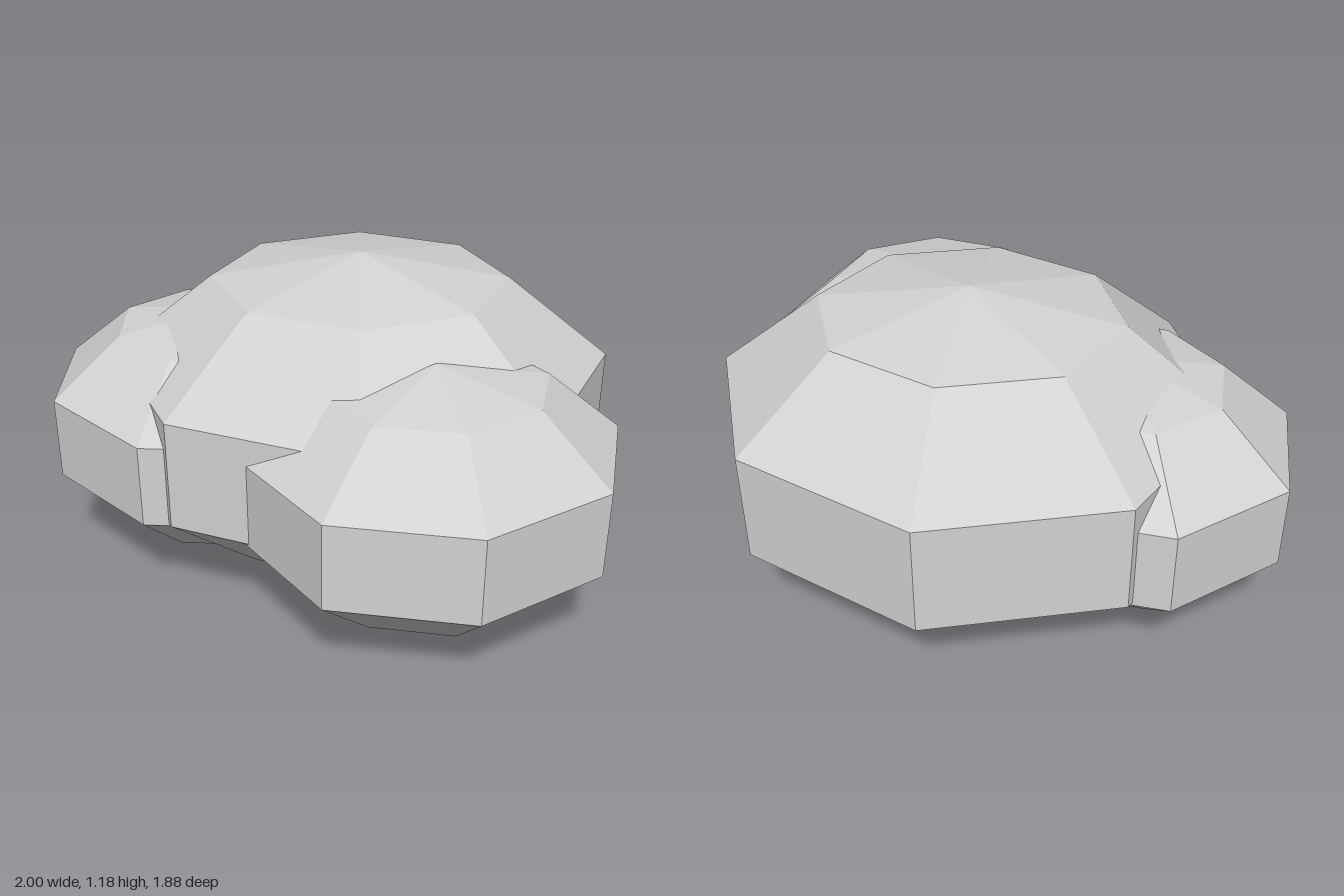
import * as THREE from 'three';

const stone = new THREE.MeshStandardMaterial({ color: 0xd2d2d2, flatShading: true });
stone.name = 'pale grey stone';

// Faceted eight-sided boulder: a lathe through six heights, stretched and turned
function boulder(name, x, z, rx, rz, turn, heights) {
  const radii = [0, 0.59, 1, 1, 0.59, 0];
  const profile = heights.map((y, i) => new THREE.Vector2(radii[i], y));
  const geometry = new THREE.LatheGeometry(profile, 8).scale(rx, 1, rz).toNonIndexed();
  geometry.computeVertexNormals();
  const mesh = new THREE.Mesh(geometry, stone);
  mesh.name = name;
  mesh.position.set(x, 0, z);
  mesh.rotation.y = turn;
  return mesh;
}

export function createModel() {
  const group = new THREE.Group();
  group.name = 'boulderCluster';
  group.add(
    boulder('largeBoulder', 0.1, -0.137, 0.9, 0.803, -0.012, [0, 0.1, 0.392, 0.79, 1.085, 1.18]),
    boulder('frontBoulder', 0.345, 0.37, 0.65, 0.585, 0.2, [0.085, 0.155, 0.38, 0.692, 0.915, 0.985]),
    boulder('sideBoulder', -0.412, -0.138, 0.64, 0.58, -0.41, [0.09, 0.16, 0.38, 0.682, 0.9, 0.97])
  );
  return group;
}
